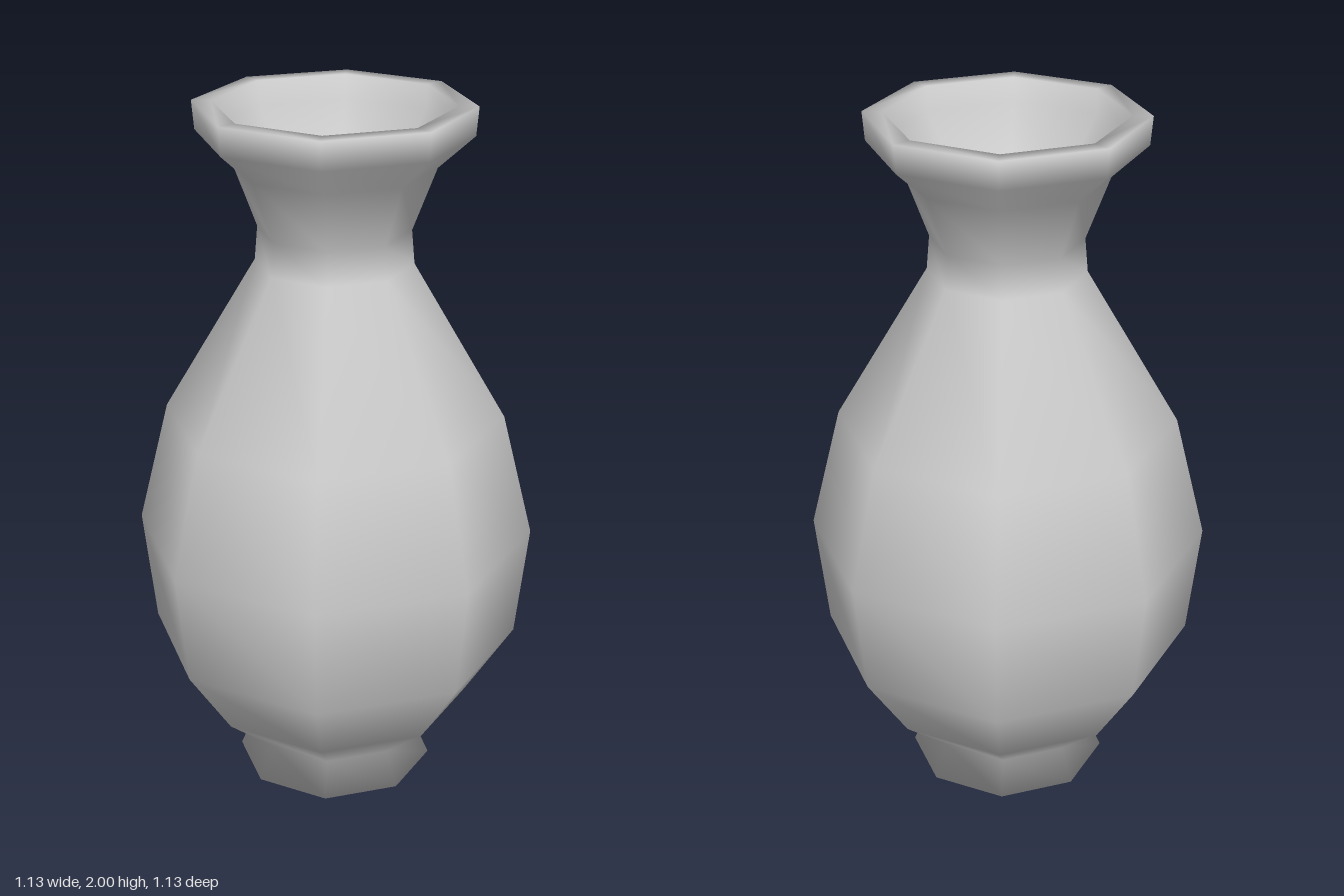
import * as THREE from 'three';

export function createModel() {
  const group = new THREE.Group();
  group.name = 'vase';
  const material = new THREE.MeshStandardMaterial({ color: 0xcccccc, side: THREE.DoubleSide });

  // [radius, height], from the underside up the outer wall and down into the mouth
  const profile = [
    [0, 0], [0.285, 0], [0.242, 0.1],               // foot
    [0.39, 0.225], [0.53, 0.435], [0.567, 0.76],    // belly
    [0.48, 1.115], [0.22, 1.56],                    // shoulder
    [0.212, 1.655], [0.278, 1.83],                  // neck
    [0.378, 1.92], [0.385, 2], [0.331, 2],          // lip
    [0.33, 1.93], [0.215, 1.78], [0.12, 1.69], [0, 1.65], // hollow of the mouth
  ].map(([r, y]) => new THREE.Vector2(r, y));

  // Eight sides with corners on the axes, smoothly shaded
  const body = new THREE.Mesh(new THREE.LatheGeometry(profile, 8), material);
  body.name = 'vaseBody';
  group.add(body);
  return group;
}
